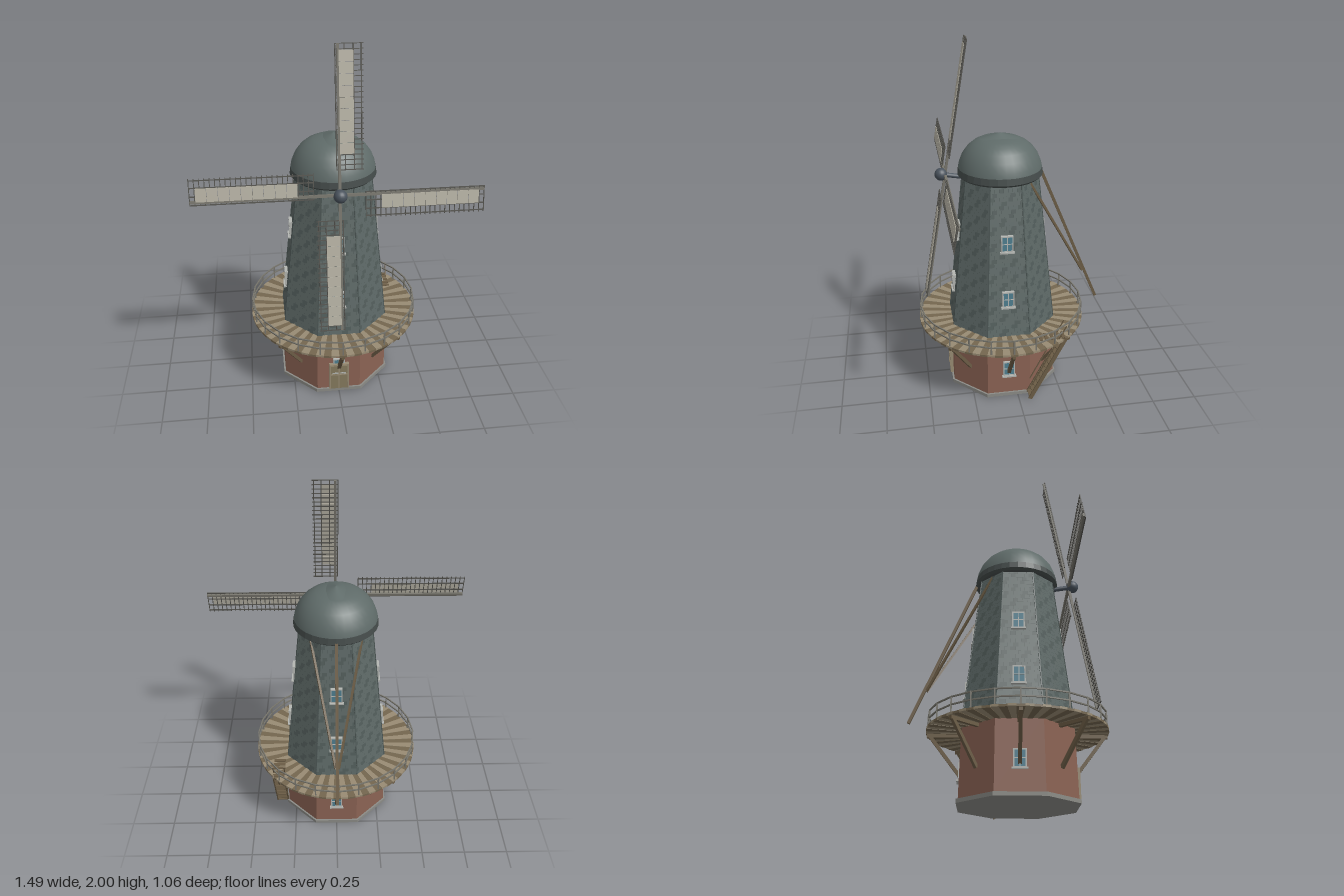
import * as THREE from 'three';
import { mergeGeometries } from 'three/addons/utils/BufferGeometryUtils.js';

const V = (x, y, z) => new THREE.Vector3(x, y, z);
const mat = (color, flat = true) => new THREE.MeshStandardMaterial({ color, flatShading: flat, side: THREE.DoubleSide });
const M = {
  shingle: mat(0x5b6664), shingleDark: mat(0x4f5a58), cap: mat(0x5f6b69, false), skirt: mat(0x454c4b),
  brick: mat(0x8a6253), stone: mat(0x8b8b86), wood: mat(0x6b5c45), plankA: mat(0x74664f), plankB: mat(0x988b73),
  rail: mat(0x77756c), glass: mat(0x4f7f90), frame: mat(0xb4b6b2), door: mat(0x857a5e), lattice: mat(0x55544f),
  canvas: mat(0xb5b1a3), iron: mat(0x49525c, false),
};
const add = (parent, name, geos, material) => {
  const mesh = new THREE.Mesh(Array.isArray(geos) ? mergeGeometries(geos) : geos, material);
  mesh.name = name;
  parent.add(mesh);
  return mesh;
};
const box = (w, h, d, x = 0, y = 0, z = 0) => new THREE.BoxGeometry(w, h, d).translate(x, y, z);
// square timber between two points
const beam = (a, b, w, h = w) => {
  const m = new THREE.Matrix4().lookAt(a, b, V(0, 1, 0)).setPosition(a.clone().lerp(b, 0.5));
  return new THREE.BoxGeometry(w, h, a.distanceTo(b)).applyMatrix4(m);
};
// octagonal frustum given by apothems, flat side to the front
const octagon = (top, bottom, y0, y1) => {
  const k = 1 / Math.cos(Math.PI / 8);
  return new THREE.CylinderGeometry(top * k, bottom * k, y1 - y0, 8).rotateY(Math.PI / 8).translate(0, (y0 + y1) / 2, 0);
};
const polar = (r, a, y) => V(r * Math.sin(a), y, r * Math.cos(a));

const Y0 = 0.39, Y1 = 1.26;
const apothem = y => 0.29 - (y - Y0) * 0.105;

function makeTower() {
  const g = new THREE.Group();
  g.name = 'tower';
  add(g, 'plinth', octagon(0.308, 0.308, 0, 0.02), M.stone);
  add(g, 'brickBase', octagon(0.29, 0.298, 0.02, Y0), M.brick);
  add(g, 'towerCore', octagon(apothem(Y1) - 0.002, apothem(Y0) - 0.002, Y0, Y1), M.shingleDark);
  // staggered shingle courses on each of the eight sides
  const light = [], dark = [], rows = 38, h = (Y1 - Y0) / rows, slope = Math.atan(0.105);
  for (let r = 0; r < rows; r++) {
    const y = Y0 + (r + 0.5) * h, ap = apothem(y), half = ap * Math.tan(Math.PI / 8);
    const n = 7, w = 2 * half / n, shift = r % 2 ? 0.5 : 0;
    for (let f = 0; f < 8; f++) for (let i = 0; i <= n; i++) {
      const a = Math.max(-half, -half + (i - shift) * w), b = Math.min(half, -half + (i + 1 - shift) * w);
      if (b - a < 0.002) continue;
      const s = new THREE.PlaneGeometry(b - a - 0.001, h * 1.08).rotateX(-slope - 0.12)
        .translate((a + b) / 2, y, ap + 0.001).rotateY(f * Math.PI / 4);
      ((i * 5 + r * 3 + f) % 4 ? light : dark).push(s);
    }
  }
  add(g, 'shingles', light, M.shingle);
  add(g, 'darkShingles', dark, M.shingleDark);
  // corner boards
  const corners = [];
  for (let f = 0; f < 8; f++) {
    const a = (f + 0.5) * Math.PI / 4, k = 1 / Math.cos(Math.PI / 8);
    corners.push(beam(polar(apothem(Y0) * k, a, Y0), polar(apothem(Y1) * k, a, Y1), 0.006));
  }
  add(g, 'cornerBoards', corners, M.shingleDark);
  // windows on the four main sides, three storeys
  for (let s = 0; s < 4; s++) for (const [y, d] of [[0.18, 0.296], [0.615, 0.272], [0.935, 0.238]]) {
    const win = new THREE.Group();
    win.name = 'window';
    win.rotation.y = s * Math.PI / 2;
    add(win, 'glass', box(0.056, 0.084, 0.012, 0, y, d), M.glass);
    add(win, 'windowFrame', [
      ...[-0.03, 0, 0.03].map(x => box(x ? 0.007 : 0.004, 0.092, 0.018, x, y, d)),
      ...[-0.043, 0, 0.043].map(v => box(0.064, v ? 0.007 : 0.004, 0.018, 0, y + v, d)),
      box(0.08, 0.009, 0.028, 0, y - 0.049, d + 0.003)], M.frame);
    g.add(win);
  }
  // front door
  add(g, 'door', box(0.096, 0.16, 0.02, 0, 0.1, 0.302), M.door);
  add(g, 'doorFrame', [-1, 1].map(s => box(0.009, 0.17, 0.028, s * 0.052, 0.105, 0.302))
    .concat(box(0.113, 0.009, 0.028, 0, 0.19, 0.302), box(0.006, 0.16, 0.025, 0, 0.1, 0.302),
      box(0.1, 0.006, 0.025, 0, 0.12, 0.302)), M.plankB);
  return g;
}

function makeGallery() {
  const g = new THREE.Group();
  g.name = 'gallery';
  // radial planks in alternating tones
  const n = 72, planks = [[], []];
  for (let i = 0; i < n; i++) {
    const a = i * 2 * Math.PI / n, w = Math.PI / n;
    const shape = new THREE.Shape([[0.26, -w], [0.48, -w], [0.48, w], [0.26, w]]
      .map(([r, t]) => new THREE.Vector2(r * Math.sin(a + t), -r * Math.cos(a + t))));
    planks[i % 2].push(new THREE.ExtrudeGeometry(shape, { depth: 0.012, bevelEnabled: false })
      .rotateX(-Math.PI / 2).translate(0, 0.378 + (i % 2) * 0.002, 0));
  }
  add(g, 'darkPlanks', planks[0], M.plankA);
  add(g, 'lightPlanks', planks[1], M.plankB);
  // braces and joists
  const timbers = [];
  for (let i = 0; i < 8; i++) {
    const a = i * Math.PI / 4;
    timbers.push(beam(polar(0.295, a, 0.155), polar(0.462, a, 0.372), 0.018), beam(polar(0.27, a, 0.369), polar(0.475, a, 0.369), 0.018));
  }
  add(g, 'braces', timbers, M.wood);
  // railing
  const rail = [], posts = 24;
  for (let i = 0; i < posts; i++) {
    const a = i * 2 * Math.PI / posts, b = (i + 1) * 2 * Math.PI / posts;
    rail.push(beam(polar(0.472, a, 0.385), polar(0.472, a, 0.475), 0.008));
    for (const y of [0.432, 0.472]) rail.push(beam(polar(0.472, a, y), polar(0.472, b, y), 0.007));
  }
  add(g, 'railing', rail, M.rail);
  // staircase on the left side, with its hatch slats in the deck
  const stairs = [], treads = 13;
  for (const x of [0.305, 0.37]) {
    stairs.push(beam(V(x, 0.01, -0.11), V(x, 0.395, -0.31), 0.007, 0.022));
    stairs.push(beam(V(x, 0.1, -0.12), V(x, 0.47, -0.31), 0.005));
  }
  for (let i = 0; i < treads; i++) {
    const t = (i + 0.5) / treads;
    stairs.push(box(0.065, 0.006, 0.026, 0.3375, 0.01 + 0.385 * t, -0.11 - 0.2 * t));
  }
  for (let i = 0; i < 5; i++) stairs.push(box(0.068, 0.005, 0.018, 0.3375, 0.394, -0.17 - i * 0.032));
  add(g, 'stairs', stairs, M.wood);
  return g;
}

function makeCap() {
  const g = new THREE.Group();
  g.name = 'cap';
  const lathe = pts => new THREE.LatheGeometry(pts.map(p => new THREE.Vector2(...p)), 32);
  add(g, 'capSkirt', lathe([[0, 1.25], [0.222, 1.25], [0.235, 1.262], [0.23, 1.298]]), M.skirt);
  add(g, 'capDome', lathe([[0.23, 1.295], [0.224, 1.325], [0.206, 1.37], [0.178, 1.408], [0.145, 1.435], [0.108, 1.453], [0.06, 1.462], [0, 1.465]]), M.cap);
  add(g, 'capPeak', new THREE.ConeGeometry(1, 0.032, 32).scale(0.072, 1, 0.11).translate(0, 1.47, 0), M.cap);
  return g;
}

function makeSail() {
  const g = new THREE.Group();
  g.name = 'sail';
  add(g, 'stock', box(0.014, 0.74, 0.014, 0, 0.375, -0.004), M.rail);
  const bars = [], n = 25;
  for (let i = 0; i < n; i++) bars.push(box(0.138, 0.004, 0.005, 0.053, 0.132 + i * 0.612 / (n - 1), 0));
  for (const x of [-0.014, 0.03, 0.074, 0.112]) bars.push(box(0.005, 0.616, 0.006, x, 0.438, 0));
  add(g, 'lattice', bars, M.lattice);
  const cloth = [];
  for (let i = 0; i < 9; i++) cloth.push(box(0.07, 0.054, 0.003, 0.038, 0.24 + i * 0.056, 0.005));
  add(g, 'canvas', cloth, M.canvas);
  return g;
}

export function createModel() {
  const model = new THREE.Group();
  model.name = 'windmill';
  const body = new THREE.Group();
  body.name = 'body';
  body.position.z = 0.05;
  body.add(makeTower(), makeGallery(), makeCap());
  model.add(body);

  // tilted rotor with four sails
  const rotor = new THREE.Group();
  rotor.name = 'rotor';
  rotor.position.set(0, 1.263, 0.356);
  rotor.rotation.x = -0.171;
  for (let i = 0; i < 4; i++) {
    const sail = makeSail();
    sail.rotation.z = -i * Math.PI / 2;
    rotor.add(sail);
  }
  add(rotor, 'hub', new THREE.SphereGeometry(0.035, 20, 14).translate(0, 0, 0.018), M.iron);
  add(rotor, 'shaft', new THREE.CylinderGeometry(0.013, 0.013, 0.2, 12).rotateX(Math.PI / 2).translate(0, 0, -0.1), M.iron);
  model.add(rotor);

  // tail pole and its stays behind the cap
  add(model, 'tailPole', beam(V(0, 1.27, -0.175), V(0, 0.438, -0.527), 0.016), M.wood);
  add(model, 'tailStays', [-1, 1].map(s => beam(V(s * 0.14, 1.25, -0.085), V(s * 0.008, 0.62, -0.437), 0.012)), M.wood);
  return model;
}
